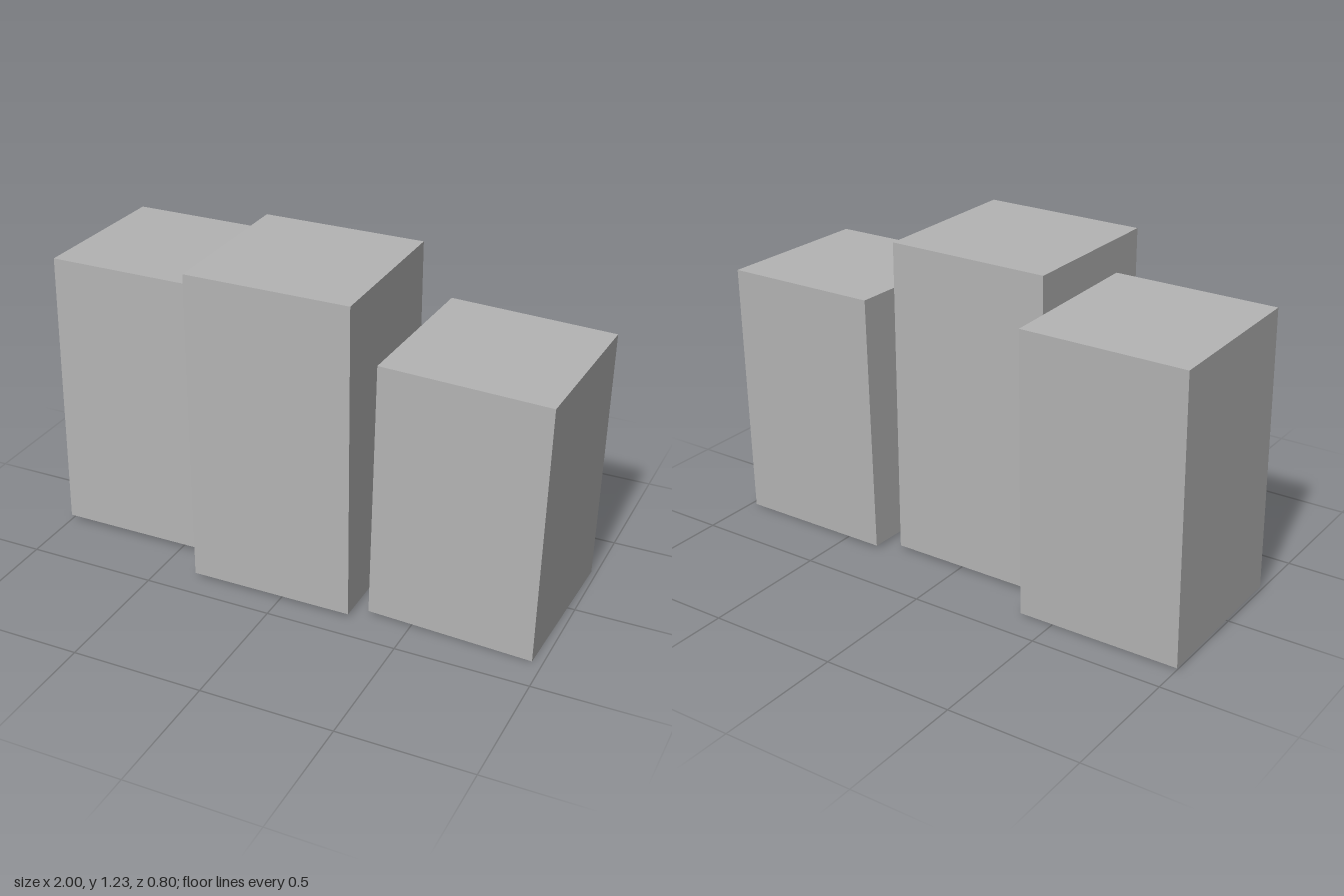
import * as THREE from 'three';

export function createModel() {
  const model = new THREE.Group();
  const grey = new THREE.MeshStandardMaterial({ color: 0xb4b4b4 });
  grey.name = 'plainGrey';
  const side = 0.63; // every block has the same square footprint

  const addBlock = (name, height, position, rotation = [0, 0, 0]) => {
    const block = new THREE.Mesh(new THREE.BoxGeometry(side, height, side), grey);
    block.name = name;
    block.position.set(...position);
    block.rotation.set(...rotation);
    model.add(block);
  };

  // Right block leans back, middle one is upright, left one leans outward and is turned
  addBlock('rightBlock', 1.09, [-0.685, 0.558, -0.074], [-0.02, 0, 0]);
  addBlock('middleBlock', 1.214, [-0.04, 0.621, 0.083]);
  addBlock('leftBlock', 0.993, [0.666, 0.503, 0.04], [0, -0.029, -0.02]);

  return model;
}
